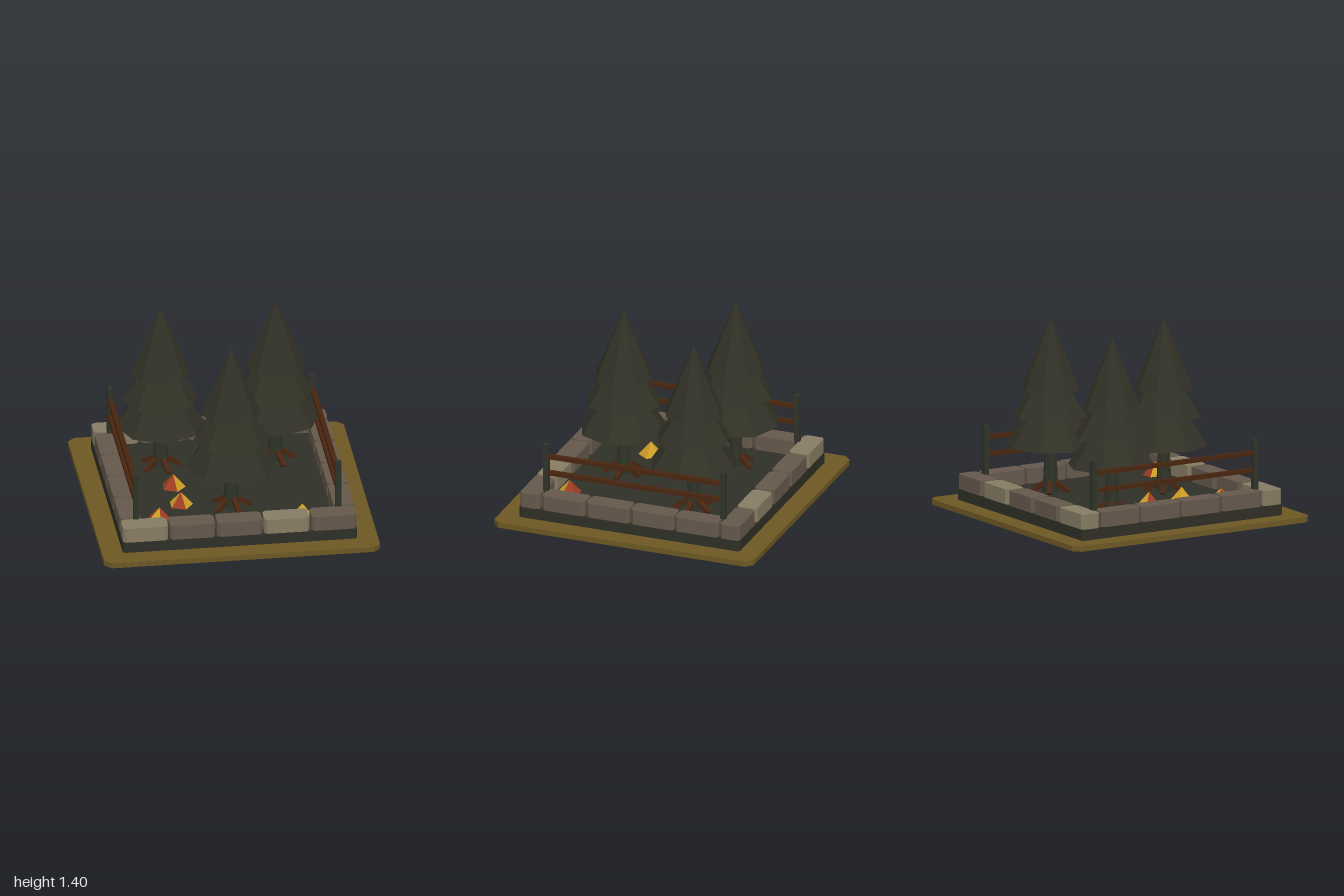
import * as THREE from 'three';

const mat = (name, color) => {
  const m = new THREE.MeshStandardMaterial({ color });
  m.name = name;
  m.flatShading = true;
  return m;
};

export function createModel() {
  const ochre = mat('ochre ground', 0x6c5823);
  const soil = mat('dark soil', 0x2e2f26);
  const pine = mat('pine green', 0x313126);
  const bark = mat('dark bark', 0x2e3328);
  const wood = mat('brown wood', 0x48250f);
  const paleStone = mat('pale stone', 0x867b62);
  const darkStone = mat('dark stone', 0x65584b);
  const gold = mat('gold leaf', 0xcc9c24);
  const red = mat('red leaf', 0x9c3c22);

  const model = new THREE.Group();
  model.name = 'woodlandPlot';

  const add = (parent, name, geometry, material, x, y, z) => {
    const mesh = new THREE.Mesh(geometry, material);
    mesh.name = name;
    mesh.position.set(x, y, z);
    parent.add(mesh);
    return mesh;
  };

  // Upright block with chamfered vertical corners, standing on y = 0
  const block = (w, h, d, c) => {
    const a = w / 2, b = d / 2;
    const pts = [[a - c, -b], [a, -b + c], [a, b - c], [a - c, b],
      [-a + c, b], [-a, b - c], [-a, -b + c], [-a + c, -b]];
    const shape = new THREE.Shape(pts.map(p => new THREE.Vector2(...p)));
    const g = new THREE.ExtrudeGeometry(shape, { depth: h, bevelEnabled: false });
    return g.rotateX(-Math.PI / 2);
  };

  // Ground plate and raised bed
  add(model, 'groundPlate', block(2, 0.04, 2, 0.05), ochre, 0, 0, 0);
  add(model, 'soilBed', block(1.7, 0.08, 1.7, 0.015), soil, 0, 0.04, 0);

  // Stone border: five across front and back, four along each side
  const wall = new THREE.Group();
  wall.name = 'stoneBorder';
  model.add(wall);
  const frontStone = block(0.327, 0.11, 0.152, 0.022);
  const sideStone = block(0.145, 0.11, 0.33, 0.022);
  for (const s of [-1, 1]) {
    for (let i = 0; i < 5; i++) {
      add(wall, 'borderStone', frontStone, i % 3 === 0 ? paleStone : darkStone,
        (i - 2) * 0.342, 0.12, s * 0.771);
    }
    for (let i = 0; i < 4; i++) {
      add(wall, 'sideStone', sideStone, darkStone, s * 0.775, 0.12, (i - 1.5) * 0.342);
    }
  }

  // Rail fences on both sides
  for (const s of [-1, 1]) {
    const fence = new THREE.Group();
    fence.name = s > 0 ? 'leftFence' : 'rightFence';
    model.add(fence);
    for (const z of [-0.683, 0.683]) {
      add(fence, 'fencePost', new THREE.BoxGeometry(0.04, 0.47, 0.04), bark, s * 0.733, 0.355, z);
    }
    for (const y of [0.37, 0.497]) {
      add(fence, 'fenceRail', new THREE.BoxGeometry(0.036, 0.03, 1.33), wood, s * 0.733, y, 0);
    }
  }

  // Pine tree: tapered trunk, splayed roots, three overlapping skirts
  const tiers = [[0.325, 0.46, 0.95], [0.275, 0.67, 1.11], [0.216, 0.872, 1.4]];
  const addTree = (x, z) => {
    const tree = new THREE.Group();
    tree.name = 'pineTree';
    tree.position.set(x, 0, z);
    model.add(tree);
    add(tree, 'trunk', new THREE.CylinderGeometry(0.04, 0.058, 0.38, 8), bark, 0, 0.31, 0);
    for (let i = 0; i < 5; i++) {
      const pivot = new THREE.Group();
      pivot.name = 'root';
      pivot.rotation.y = i * Math.PI * 0.4;
      tree.add(pivot);
      const root = add(pivot, 'rootLimb', new THREE.BoxGeometry(0.14, 0.03, 0.035), wood, 0.085, 0.16, 0);
      root.rotation.z = -0.6;
    }
    for (const [r, y0, y1] of tiers) {
      add(tree, 'foliageTier', new THREE.ConeGeometry(r, y1 - y0, 8), pine, 0, (y0 + y1) / 2, 0);
    }
  };
  addTree(-0.417, -0.328);
  addTree(0.417, -0.328);
  addTree(0, 0.372);

  // Leaf heaps: five-sided cones with gold (g) and red (r) faces
  const addHeap = (x, z, radius, turn, faces) => {
    const g = new THREE.ConeGeometry(radius, 0.1, 5, 1, true);
    g.clearGroups();
    [...faces].forEach((f, i) => g.addGroup(i * 3, 3, f === 'g' ? 0 : 1));
    add(model, 'leafHeap', g, [gold, red], x, 0.17, z).rotation.y = turn;
  };
  addHeap(-0.54, 0.52, 0.1, 0, 'rrgrg');
  addHeap(-0.355, 0.3, 0.09, 0.3, 'ggggr');
  addHeap(-0.37, 0.015, 0.09, 0.2, 'gggrr');
  addHeap(0.485, 0.6, 0.09, 0, 'grrgg');

  return model;
}
